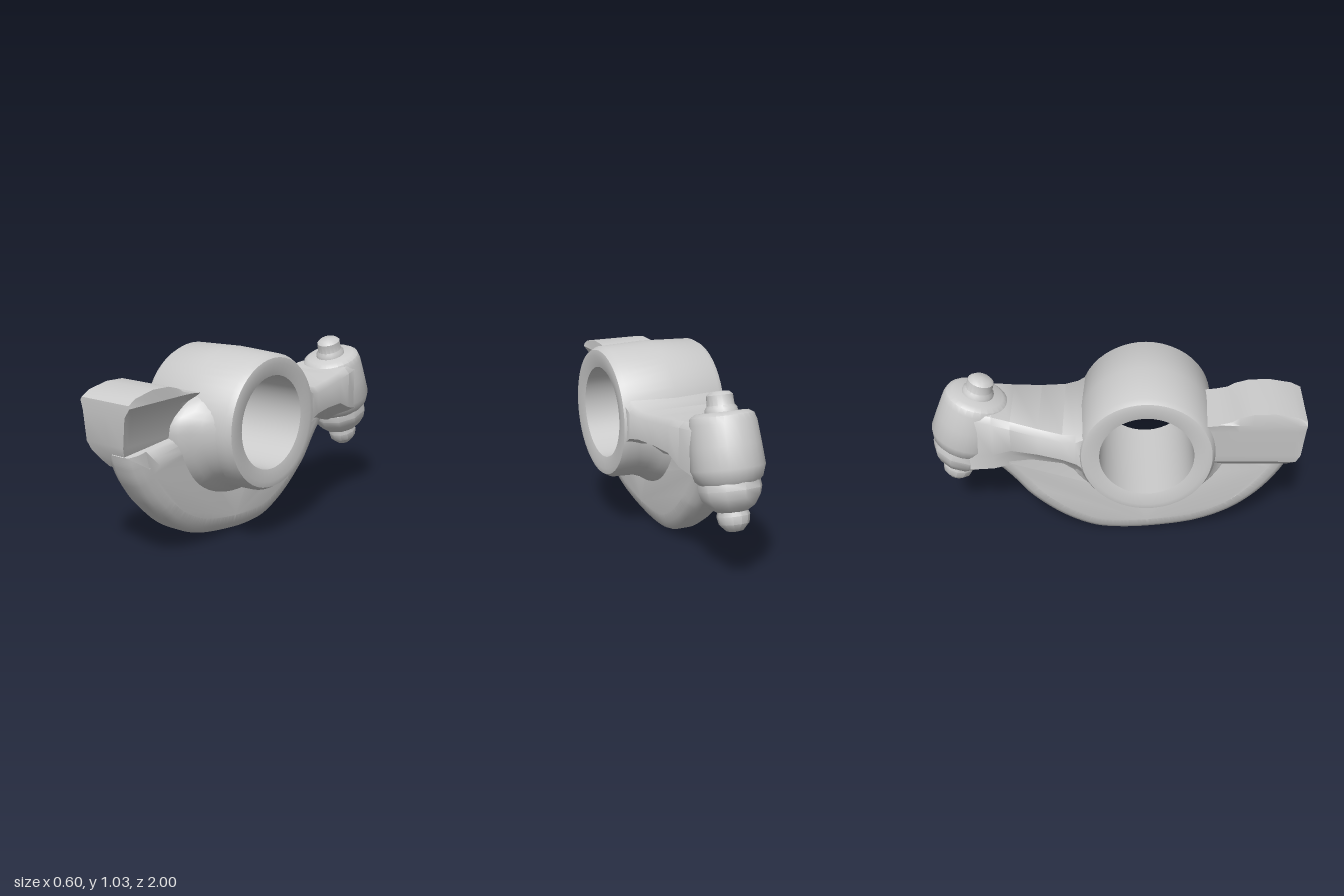
import * as THREE from 'three';
import { toCreasedNormals } from 'three/addons/utils/BufferGeometryUtils.js';

const material = new THREE.MeshStandardMaterial({ color: 0xcccccc, side: THREE.DoubleSide });
const HUB_Y = 0.655, HUB_Z = 0.173;
const v2 = pts => pts.map(([a, b]) => new THREE.Vector2(a, b));

function part(name, geometry, crease = 0.6) {
  const mesh = new THREE.Mesh(toCreasedNormals(geometry, crease), material);
  mesh.name = name;
  return mesh;
}

// Moves every vertex by a rule
function reshape(geometry, rule) {
  const p = geometry.attributes.position, v = new THREE.Vector3();
  for (let i = 0; i < p.count; i++) {
    rule(v.fromBufferAttribute(p, i));
    p.setXYZ(i, v.x, v.y, v.z);
  }
  return geometry;
}

// Skin over closed cross-sections, each a list of [x, y, z]
function loft(sections) {
  const n = sections[0].length, index = [];
  for (let i = 0; i < sections.length - 1; i++) {
    for (let j = 0; j < n; j++) {
      const k = (j + 1) % n;
      const a = i * n + j, b = i * n + k, c = b + n, d = a + n;
      index.push(a, b, c, a, c, d);
    }
  }
  const g = new THREE.BufferGeometry();
  g.setAttribute('position', new THREE.Float32BufferAttribute(sections.flat(2), 3));
  g.setIndex(index);
  return g;
}

// Bearing tube with chamfered ends, turned about the x axis
function hub() {
  const profile = v2([
    [0.25, -0.285], [0.315, -0.3], [0.345, -0.295], [0.362, -0.265], [0.372, 0],
    [0.362, 0.265], [0.345, 0.295], [0.315, 0.3], [0.25, 0.285], [0.25, -0.285],
  ]);
  const g = new THREE.LatheGeometry(profile, 48).rotateZ(-Math.PI / 2).translate(0, HUB_Y, HUB_Z);
  return part('hubTube', g);
}

// Fillet where the web, pad and arm run into the tube: full at front and rear,
// slim at the bottom, fading out at both ends
function fillet() {
  const start = -0.55, end = Math.PI + 0.1;
  const profile = v2([
    [0.345, -0.28], [0.362, -0.23], [0.385, -0.19], [0.43, -0.165], [0.48, -0.14],
    [0.49, 0.02], [0.475, 0.055], [0.425, 0.09], [0.39, 0.14], [0.366, 0.2], [0.345, 0.28],
  ]);
  const g = new THREE.LatheGeometry(profile, 40, start, end - start).rotateZ(-Math.PI / 2);
  reshape(g, v => {
    const r = Math.hypot(v.y, v.z);
    let angle = Math.atan2(-v.y, v.z);
    if (angle < start - 0.1) angle += 2 * Math.PI;
    const fade = Math.max(0, Math.min(1, (angle - start) / 0.45, (end - angle) / 0.3));
    const swell = 1 - 0.52 * Math.max(0, Math.sin(angle)) ** 2;
    const s = (0.345 + (r - 0.345) * fade * swell) / r;
    v.y *= s;
    v.z *= s;
  });
  return part('hubFillet', g.translate(0, HUB_Y, HUB_Z), 1.2);
}

// Crescent web below the tube with a rounded rim, thinner toward its lowest edge
function web() {
  const shape = new THREE.Shape();
  shape.moveTo(0.972, 0.59);
  shape.splineThru(v2([
    [0.95, 0.52], [0.9, 0.42], [0.8, 0.285], [0.65, 0.15], [0.45, 0.055], [0.2, 0.008],
    [0, 0], [-0.14, 0.025], [-0.3, 0.11], [-0.45, 0.24], [-0.56, 0.38], [-0.64, 0.47],
  ]));
  shape.lineTo(-0.76, 0.52);
  shape.lineTo(-0.76, 0.68);
  shape.lineTo(HUB_Z - 0.27, 0.68);
  shape.absarc(HUB_Z, HUB_Y, 0.27, Math.PI, 2 * Math.PI, false);
  shape.lineTo(0.8, 0.61);
  const g = new THREE.ExtrudeGeometry(shape, {
    depth: 0.08, bevelThickness: 0.07, bevelSize: 0.09, bevelOffset: -0.09,
    bevelSegments: 3, curveSegments: 28,
  });
  g.rotateY(-Math.PI / 2).translate(-0.01, 0, 0);
  reshape(g, v => {
    v.x = -0.05 + (v.x + 0.05) * (0.8 + 0.2 * Math.min(1, v.y / 0.28));
  });
  return part('web', g, 0.7);
}

// Front contact pad: domed top, sides that draw in toward the web
function pad() {
  const levels = [ // height, right side, left side, front limit
    [0.85, -0.268, 0.07, 1], [0.8, -0.257, 0.032, 0.997], [0.64, -0.25, 0.005, 0.985],
    [0.59, -0.238, -0.01, 0.965], [0.55, -0.195, 0, 0.95], [0.51, -0.155, 0.02, 0.925],
  ];
  const stations = [ // z, top height
    [1, 0.865], [0.95, 0.893], [0.83, 0.915], [0.72, 0.911], [0.65, 0.89],
    [0.61, 0.865], [0.55, 0.848], [0.48, 0.84],
  ];
  const section = ([z, top], spread) => {
    const rows = [[top, -0.258, 0.064, 1], ...levels];
    const corner = side => ([y, right, left, front]) => [
      -0.1 + ((side > 0 ? left : right) + 0.1) * spread, Math.min(y, top), Math.min(z, front),
    ];
    return [...rows.map(corner(1)), ...rows.map(corner(-1)).reverse()];
  };
  // the first section is squeezed to the middle and closes the front face
  return part('contactPad', loft([section(stations[0], 0), ...stations.map(s => section(s, 1))]), 0.5);
}

// Tapering rear arm that flows down into the web
function arm() {
  const stations = [ // z, right, left, top, edge, underside, foot
    [-0.12, -0.285, 0.285, 0.82, 0.56, 0.5, 0.36],
    [-0.16, -0.285, 0.285, 0.795, 0.57, 0.53, 0.4],
    [-0.2, -0.28, 0.28, 0.772, 0.6, 0.565, 0.45],
    [-0.27, -0.262, 0.265, 0.76, 0.615, 0.59, 0.5],
    [-0.4, -0.225, 0.242, 0.768, 0.62, 0.595, 0.52],
    [-0.55, -0.185, 0.222, 0.785, 0.615, 0.58, 0.5],
    [-0.65, -0.165, 0.21, 0.8, 0.57, 0.52, 0.47],
    [-0.78, -0.14, 0.18, 0.81, 0.54, 0.49, 0.46],
  ];
  return part('rearArm', loft(stations.map(([z, r, l, top, edge, under, foot]) => [
    [r + 0.03, top, z], [l - 0.03, top, z], [l, top - 0.03, z], [l, edge, z],
    [0.06 + (l - 0.06) * 0.45, under, z], [0.055, foot, z],
    [-0.155, foot, z], [-0.16 + (r + 0.16) * 0.45, under, z], [r, edge, z], [r, top - 0.03, z],
  ])), 0.8);
}

// Tilted boss with the adjuster stud above and the nut and ball end below
function boss() {
  const group = new THREE.Group();
  group.name = 'adjuster';
  const turned = (name, pts, sides) => group.add(part(name, new THREE.LatheGeometry(v2(pts), sides), 0.7));
  turned('boss', [
    [0, 0.22], [0.14, 0.22], [0.178, 0.255], [0.198, 0.31], [0.19, 0.42],
    [0.18, 0.53], [0.168, 0.565], [0.14, 0.582], [0, 0.585],
  ], 28);
  turned('stud', [[0.088, 0.57], [0.085, 0.6], [0.072, 0.615], [0.07, 0.665], [0.05, 0.682], [0, 0.685]], 18);
  turned('lockNut', [[0, 0.09], [0.08, 0.095], [0.125, 0.12], [0.158, 0.165], [0.17, 0.205], [0.165, 0.24], [0, 0.27]], 10);
  turned('ballEnd', [[0, -0.008], [0.045, 0], [0.08, 0.035], [0.088, 0.075], [0.08, 0.1], [0.08, 0.15]], 12);
  group.scale.x = 0.93;
  group.rotation.x = 0.28;
  group.position.set(0.02, 0.29, -0.892);
  return group;
}

export function createModel() {
  const model = new THREE.Group();
  model.name = 'rockerArm';
  model.add(hub(), fillet(), web(), pad(), arm(), boss());
  return model;
}
